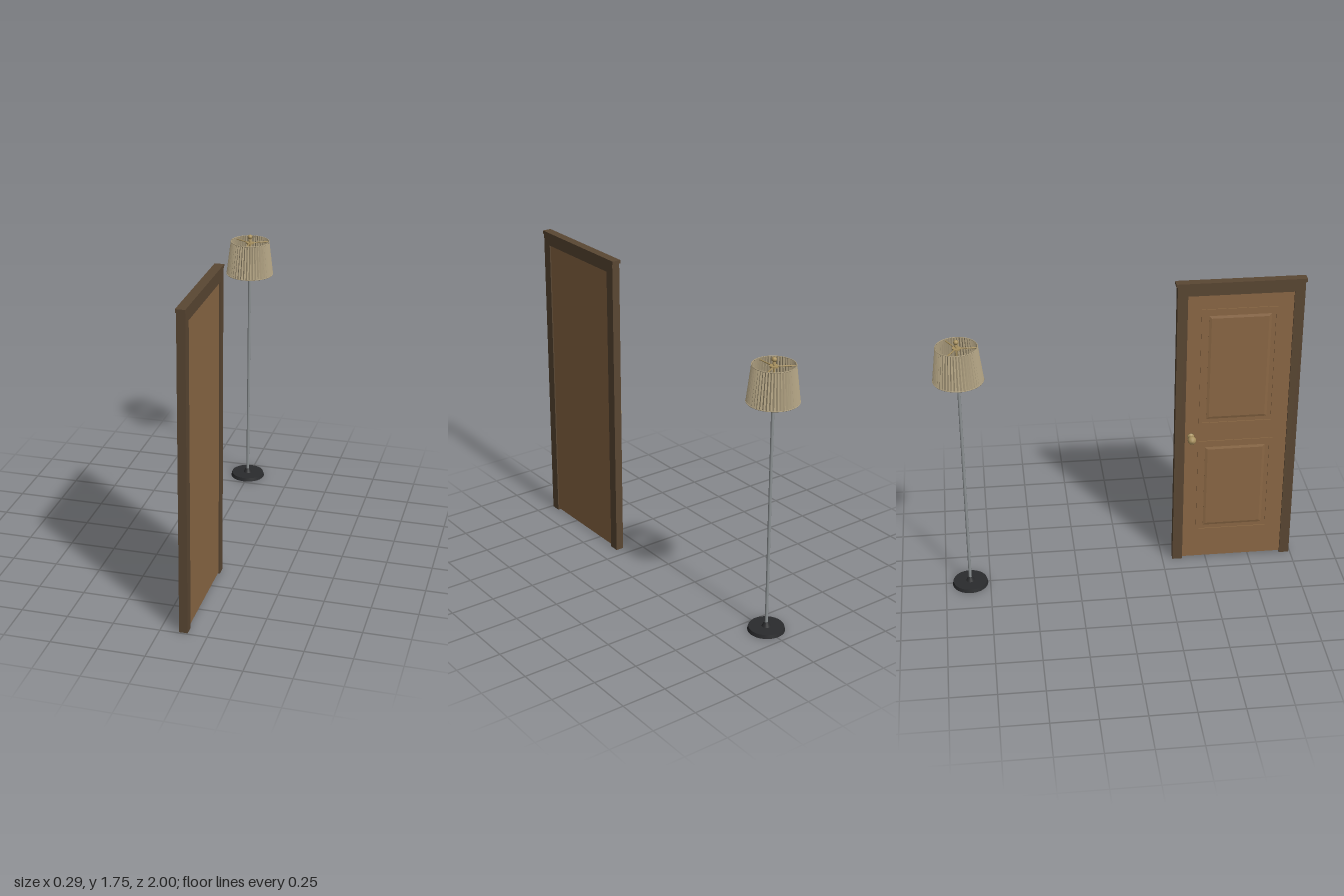
import * as THREE from 'three';

const material = (name, color, extra = {}) => {
  const m = new THREE.MeshStandardMaterial({ color, ...extra });
  m.name = name;
  return m;
};

export function createModel() {
  const model = new THREE.Group();
  model.name = 'doorAndFloorLamp';

  const frameWood = material('dark frame wood', 0x5a4733);
  const doorWood = material('door wood', 0x8b6845);
  const brass = material('brass', 0xa8915f);
  const steel = material('grey steel', 0x8d9294);
  const iron = material('black iron', 0x2a2b2d);
  const fabric = material('shade fabric', 0xb3a484, { side: THREE.DoubleSide });

  const add = (parent, name, geometry, mat, x = 0, y = 0, z = 0) => {
    const mesh = new THREE.Mesh(geometry, mat);
    mesh.name = name;
    mesh.position.set(x, y, z);
    parent.add(mesh);
    return mesh;
  };
  // Box given by its lower and upper corners
  const addBox = (parent, name, mat, [x0, y0, z0], [x1, y1, z1]) =>
    add(parent, name, new THREE.BoxGeometry(x1 - x0, y1 - y0, z1 - z0), mat,
      (x0 + x1) / 2, (y0 + y1) / 2, (z0 + z1) / 2);
  const lathe = (points, segments) =>
    new THREE.LatheGeometry(points.map(([r, y]) => new THREE.Vector2(r, y)), segments);

  // ---- Door ----
  const door = new THREE.Group();
  door.name = 'door';
  model.add(door);

  // Frame: two jambs, a head and a projecting cap
  addBox(door, 'frontJamb', frameWood, [0.1, 0, 0.936], [0.145, 1.675, 0.992]);
  addBox(door, 'backJamb', frameWood, [0.1, 0, 0.308], [0.145, 1.675, 0.364]);
  addBox(door, 'frameHead', frameWood, [0.1, 1.672, 0.308], [0.145, 1.728, 0.992]);
  addBox(door, 'frameCap', frameWood, [0.097, 1.727, 0.3], [0.147, 1.745, 1.0]);

  // Slab, slightly set back from both frame faces
  addBox(door, 'doorSlab', doorWood, [0.108, 0.01, 0.364], [0.138, 1.672, 0.936]);

  // Moulded panels on the knob side
  const rectangle = (Type, w, h) => {
    const r = new Type();
    r.moveTo(-w / 2, -h / 2).lineTo(w / 2, -h / 2).lineTo(w / 2, h / 2).lineTo(-w / 2, h / 2);
    r.closePath();
    return r;
  };
  const addPanel = (name, y0, y1) => {
    const w = 0.42, h = y1 - y0;
    const panel = new THREE.Group();
    panel.name = name;
    panel.position.set(0.108, (y0 + y1) / 2, 0.65);
    panel.rotation.y = -Math.PI / 2;
    door.add(panel);
    const outline = rectangle(THREE.Shape, w, h);
    outline.holes.push(rectangle(THREE.Path, w - 0.036, h - 0.036));
    add(panel, 'panelMoulding', new THREE.ExtrudeGeometry(outline, { depth: 0.005, bevelEnabled: false }), doorWood);
    // Raised field with bevelled edges
    const field = new THREE.ExtrudeGeometry(rectangle(THREE.Shape, w - 0.11, h - 0.11),
      { depth: 0.001, bevelThickness: 0.004, bevelSize: 0.014, bevelSegments: 1 });
    add(panel, 'raisedField', field, doorWood);
  };
  addPanel('upperPanel', 0.88, 1.59);
  addPanel('lowerPanel', 0.18, 0.78);

  // Knob with neck and rosette, pointing towards -x
  const knob = add(door, 'doorKnob', lathe([
    [0, 0], [0.02, 0], [0.018, 0.006], [0.009, 0.009], [0.008, 0.022], [0.016, 0.026],
    [0.022, 0.035], [0.0235, 0.044], [0.021, 0.055], [0.014, 0.063], [0, 0.067],
  ], 24), brass, 0.108, 0.814, 0.398);
  knob.rotation.z = Math.PI / 2;

  // ---- Floor lamp ----
  const lamp = new THREE.Group();
  lamp.name = 'floorLamp';
  lamp.position.set(-0.008, 0, -0.863);
  model.add(lamp);

  // Base disc and raised collar
  add(lamp, 'baseDisc', new THREE.CylinderGeometry(0.095, 0.1, 0.02, 40), iron, 0, 0.01, 0);
  add(lamp, 'baseCollar', new THREE.CylinderGeometry(0.012, 0.024, 0.024, 24), iron, 0, 0.032, 0);
  add(lamp, 'pole', new THREE.CylinderGeometry(0.0085, 0.0085, 1.24, 16), steel, 0, 0.66, 0);

  // Socket, inner rod and finial
  add(lamp, 'socket', new THREE.CylinderGeometry(0.0135, 0.0125, 0.07, 20), brass, 0, 1.305, 0);
  add(lamp, 'innerRod', new THREE.CylinderGeometry(0.005, 0.005, 0.18, 12), brass, 0, 1.425, 0);
  add(lamp, 'finialBall', new THREE.SphereGeometry(0.0135, 16, 12), brass, 0, 1.526, 0);
  add(lamp, 'finialCollar', new THREE.CylinderGeometry(0.007, 0.01, 0.012, 16), brass, 0, 1.508, 0);

  // Three-armed shade holder
  add(lamp, 'holderHub', new THREE.CylinderGeometry(0.022, 0.022, 0.008, 24), brass, 0, 1.49, 0);
  for (let i = 0; i < 3; i++) {
    const angle = Math.PI / 2 + i * Math.PI * 2 / 3;
    const arm = add(lamp, 'holderArm', new THREE.CylinderGeometry(0.0035, 0.0035, 0.108, 8), brass,
      Math.cos(angle) * 0.054, 1.49, Math.sin(angle) * 0.054);
    arm.rotation.set(0, -angle, Math.PI / 2);
  }

  // Pleated shade: every other column of vertices is pulled inwards
  const pleats = 48;
  let shade = new THREE.CylinderGeometry(0.112, 0.136, 0.196, pleats * 2, 1, true);
  const pos = shade.attributes.position;
  for (let i = 0; i < pos.count; i++) {
    if (i % (pleats * 2 + 1) % 2 === 0) continue;
    const x = pos.getX(i), z = pos.getZ(i);
    const k = 1 - 0.006 / Math.hypot(x, z);
    pos.setXYZ(i, x * k, pos.getY(i), z * k);
  }
  shade = shade.toNonIndexed();
  shade.computeVertexNormals();
  add(lamp, 'pleatedShade', shade, fabric, 0, 1.404, 0);

  // Thin hems at both ends of the shade
  for (const [name, r, y] of [['topHem', 0.1105, 1.5], ['bottomHem', 0.1345, 1.307]]) {
    const hem = add(lamp, name, new THREE.TorusGeometry(r, 0.0025, 6, 64), fabric, 0, y, 0);
    hem.rotation.x = Math.PI / 2;
  }

  return model;
}
